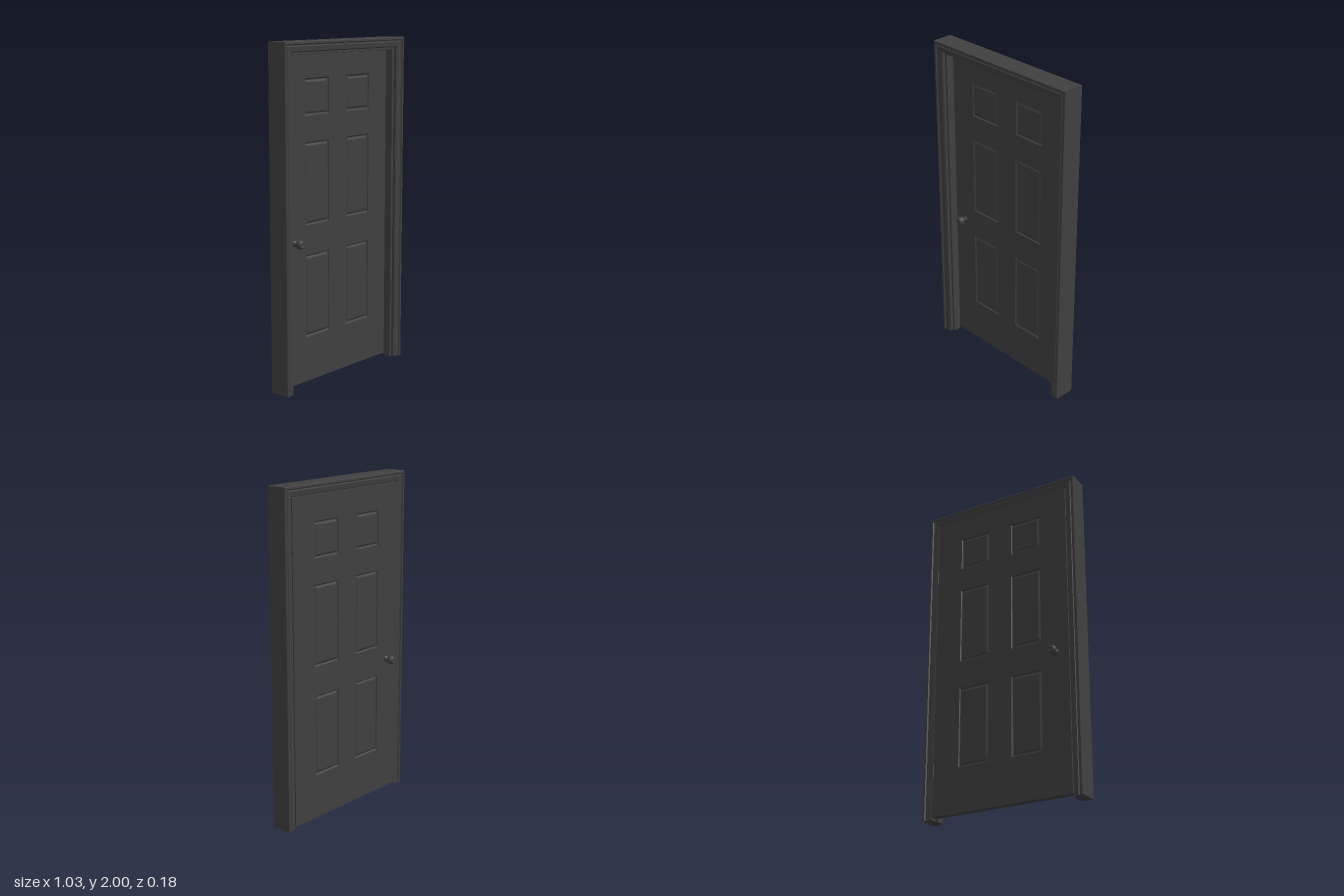
import * as THREE from 'three';

const W = 0.515, H = 2; // frame half width and height
const DOOR_FRONT = 0.01, DOOR_BACK = -0.033;
const material = new THREE.MeshStandardMaterial({ color: 0x404040 });

function add(parent, name, geometry) {
  const mesh = new THREE.Mesh(geometry, material);
  mesh.name = name;
  parent.add(mesh);
  return mesh;
}

function facets(positions) {
  const g = new THREE.BufferGeometry();
  g.setAttribute('position', new THREE.Float32BufferAttribute(positions, 3));
  g.computeVertexNormals();
  return g;
}

function quad(out, a, b, c, d) {
  out.push(...a, ...b, ...c, ...a, ...c, ...d);
}

// Casing, jamb and door stop section: [inset from the outer edge, z]
const frameProfile = [
  [0, 0.088], [0.003, 0.09], [0.014, 0.09], [0.019, 0.082], [0.023, 0.082],
  [0.027, 0.086], [0.054, 0.081], [0.06, 0.076], [0.06, 0.06], [0.073, 0.06],
  [0.075, 0.058], [0.075, 0.011], [0.06, 0.011], [0.06, -0.028], [0.054, -0.031],
  [0.027, -0.036], [0.023, -0.032], [0.019, -0.032], [0.014, -0.04], [0.003, -0.04], [0, -0.038],
];

// Sweep the section up one leg, across the head and down the other, mitred
function frameGeometry() {
  const out = [];
  const point = ([d, z], j) => [(j < 2 ? -1 : 1) * (W - d), j === 0 || j === 3 ? 0 : H - d, z];
  for (let j = 0; j < 3; j++) {
    frameProfile.forEach((p, i) => {
      const q = frameProfile[(i + 1) % frameProfile.length];
      quad(out, point(p, j), point(q, j), point(q, j + 1), point(p, j + 1));
    });
  }
  return facets(out);
}

// Flat foot closing one leg of the frame
function footGeometry(side) {
  const outline = frameProfile.map(([d, z]) => new THREE.Vector2(side * (W - d), z));
  return new THREE.ShapeGeometry(new THREE.Shape(outline)).rotateX(Math.PI / 2);
}

// Moulded panel: nested rectangles, [inset, depth below the door face]
const panelRings = [[0, 0], [0.003, 0.005], [0.007, 0.008], [0.011, 0.008], [0.022, 0.002]];

function panelGeometry(w, h) {
  const out = [];
  const corners = ([d, z]) => [[-1, -1], [1, -1], [1, 1], [-1, 1]]
    .map(([x, y]) => [x * (w / 2 - d), y * (h / 2 - d), -z]);
  for (let i = 0; i < panelRings.length - 1; i++) {
    const a = corners(panelRings[i]), b = corners(panelRings[i + 1]);
    for (let k = 0; k < 4; k++) {
      const n = (k + 1) % 4;
      quad(out, a[k], a[n], b[n], b[k]);
    }
  }
  quad(out, ...corners(panelRings[panelRings.length - 1]));
  return facets(out);
}

function rectangle(Type, x0, y0, x1, y1) {
  return new Type([[x0, y0], [x1, y0], [x1, y1], [x0, y1]].map(([x, y]) => new THREE.Vector2(x, y)));
}

// Rose, neck and rounded grip with a dished end: [radius, distance from the door]
const knobProfile = [
  [0.02, 0], [0.02, 0.003], [0.016, 0.007], [0.0115, 0.01], [0.0105, 0.014], [0.012, 0.018],
  [0.019, 0.023], [0.024, 0.029], [0.0268, 0.036], [0.0272, 0.043], [0.025, 0.051],
  [0.0215, 0.057], [0.017, 0.061], [0.014, 0.0615], [0.012, 0.059], [0.0001, 0.058],
];

function createDoor() {
  const door = new THREE.Group();
  door.name = 'door';

  const rows = [[0.285, 0.775], [0.95, 1.43], [1.58, 1.79]];
  const openings = [];
  for (const [y0, y1] of rows) {
    openings.push([0.075, y0, 0.28, y1], [-0.28, y0, -0.075, y1]);
  }

  // Stiles and rails
  const slab = rectangle(THREE.Shape, -0.452, 0.015, 0.452, 1.937);
  for (const o of openings) slab.holes.push(rectangle(THREE.Path, ...o));
  const slabGeometry = new THREE.ExtrudeGeometry(slab, { depth: DOOR_FRONT - DOOR_BACK, bevelEnabled: false });
  add(door, 'doorSlab', slabGeometry.translate(0, 0, DOOR_BACK));

  // Panels on both faces
  for (const [x0, y0, x1, y1] of openings) {
    for (const front of [true, false]) {
      const panel = add(door, front ? 'frontPanel' : 'backPanel', panelGeometry(x1 - x0, y1 - y0));
      panel.position.set((x0 + x1) / 2, (y0 + y1) / 2, front ? DOOR_FRONT : DOOR_BACK);
      if (!front) panel.rotation.y = Math.PI;
    }
  }

  // Knobs
  const profile = knobProfile.map(([r, y]) => new THREE.Vector2(r, y));
  for (const front of [true, false]) {
    const knob = add(door, front ? 'frontKnob' : 'backKnob', new THREE.LatheGeometry(profile, 32));
    knob.position.set(-0.365, 0.86, front ? DOOR_FRONT : DOOR_BACK);
    knob.rotation.x = front ? Math.PI / 2 : -Math.PI / 2;
  }

  // Hinges on the back edge
  for (const y of [0.29, 1.56]) {
    const hinge = new THREE.Group();
    hinge.name = 'hinge';
    hinge.position.set(0.453, y, -0.034);
    add(hinge, 'hingeBarrel', new THREE.CylinderGeometry(0.006, 0.006, 0.09, 12));
    add(hinge, 'hingeLeaf', new THREE.BoxGeometry(0.004, 0.09, 0.03)).position.z = 0.015;
    door.add(hinge);
  }
  return door;
}

export function createModel() {
  const model = new THREE.Group();
  model.name = 'panelDoor';

  const frame = new THREE.Group();
  frame.name = 'frame';
  add(frame, 'frameCasing', frameGeometry());
  for (const side of [-1, 1]) add(frame, 'frameFoot', footGeometry(side));

  model.add(frame, createDoor());
  return model;
}
